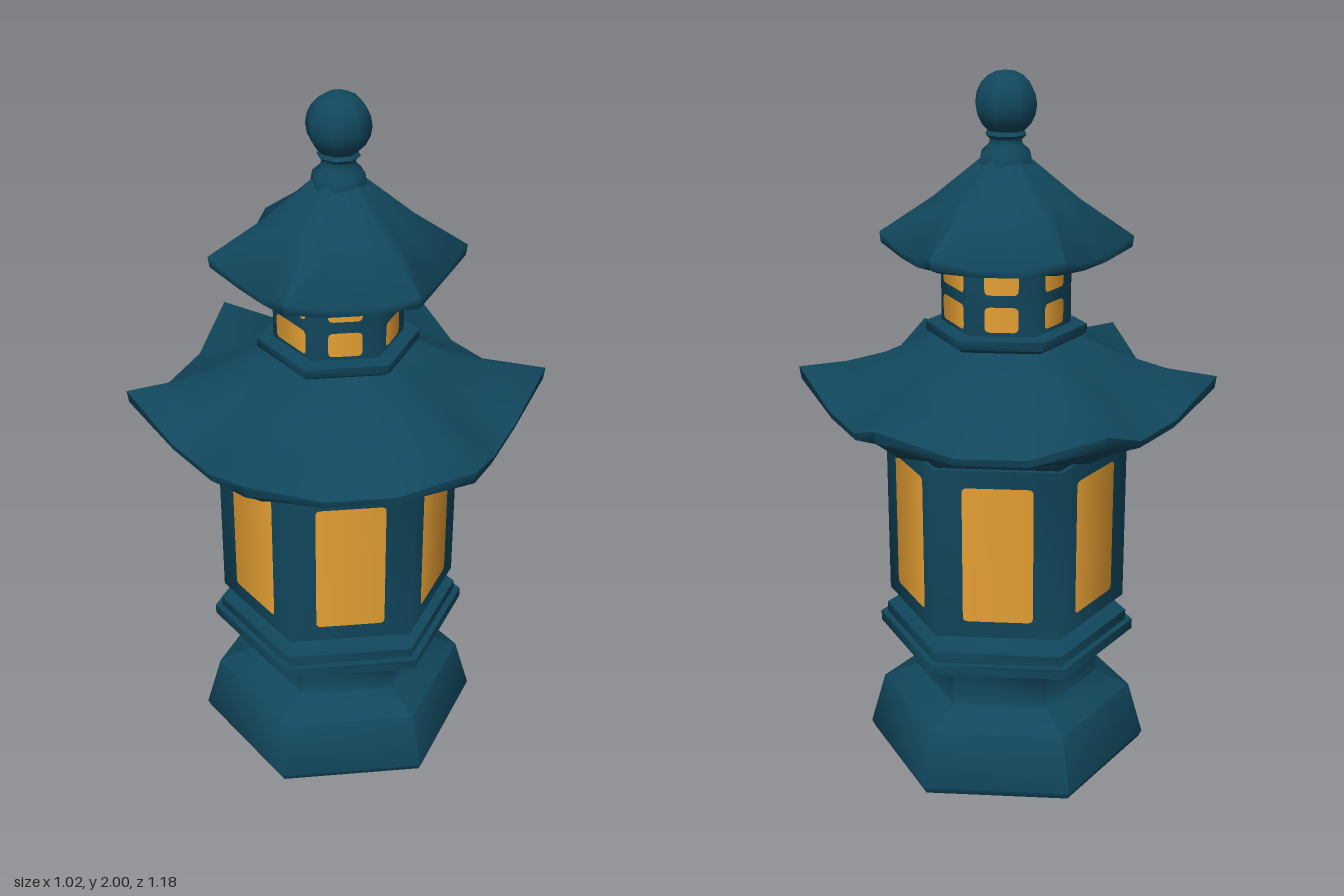
import * as THREE from 'three';
import { toCreasedNormals } from 'three/addons/utils/BufferGeometryUtils.js';

const CREASE = 1.1; // keeps the hexagon corners soft and the ledges sharp
const APOTHEM = Math.cos(Math.PI / 6);

const stone = new THREE.MeshStandardMaterial({ color: 0x11475d });
stone.name = 'blue stone';
const glow = new THREE.MeshStandardMaterial({ color: 0xe6a033 });
glow.name = 'amber window';

function addMesh(parent, name, geometry, material) {
  const mesh = new THREE.Mesh(geometry, material);
  mesh.name = name;
  parent.add(mesh);
  return mesh;
}

// Turned part from [radius, height] pairs, bottom to top
function turned(profile, sides = 6) {
  const points = profile.map(([r, y]) => new THREE.Vector2(r, y));
  return toCreasedNormals(new THREE.LatheGeometry(points, sides), CREASE);
}

// Hexagonal roof from rings of [corner radius, corner y, side y, side inset]
function roof(rings) {
  const position = [], index = [];
  const n = 18;
  const corner = (k) => new THREE.Vector2(Math.sin(k * Math.PI / 3), Math.cos(k * Math.PI / 3));
  for (const [r, cornerY, sideY, inset] of rings) {
    for (let j = 0; j < n; j++) {
      const k = Math.floor(j / 3), isCorner = j % 3 === 0;
      const p = corner(k).lerp(corner(k + 1), (j % 3) / 3);
      p.multiplyScalar(isCorner ? r : r - inset);
      position.push(p.x, isCorner ? cornerY : sideY, p.y);
    }
  }
  for (let i = 0; i < rings.length - 1; i++) {
    for (let j = 0; j < n; j++) {
      const a = i * n + j, b = i * n + (j + 1) % n;
      index.push(a, b, b + n, a, b + n, a + n);
    }
  }
  const geometry = new THREE.BufferGeometry();
  geometry.setAttribute('position', new THREE.Float32BufferAttribute(position, 3));
  geometry.setIndex(index);
  return toCreasedNormals(geometry, CREASE);
}

// Rounded pane just off a hexagon side, its normals following the soft corners
function pane(w, h, y, radius) {
  const c = 0.015, x = w / 2, b = y - h / 2, t = y + h / 2;
  const shape = new THREE.Shape();
  shape.moveTo(-x + c, b).lineTo(x - c, b);
  shape.quadraticCurveTo(x, b, x, b + c).lineTo(x, t - c);
  shape.quadraticCurveTo(x, t, x - c, t).lineTo(-x + c, t);
  shape.quadraticCurveTo(-x, t, -x, t - c).lineTo(-x, b + c);
  shape.quadraticCurveTo(-x, b, -x + c, b);
  const geometry = new THREE.ShapeGeometry(shape, 4);
  const d = radius * APOTHEM;
  geometry.translate(0, 0, d + 0.003);
  const pos = geometry.attributes.position, normal = geometry.attributes.normal;
  for (let i = 0; i < pos.count; i++) {
    const v = new THREE.Vector3(pos.getX(i), 0, d).normalize();
    normal.setXYZ(i, v.x, v.y, v.z);
  }
  return geometry;
}

export function createModel() {
  const model = new THREE.Group();
  model.name = 'lantern';

  // Foot, waist and stepped rim
  addMesh(model, 'base', turned([
    [0, 0], [0.405, 0], [0.415, 0.02], [0.37, 0.18], [0.27, 0.225], [0.27, 0.33], [0.34, 0.37],
  ]), stone);
  addMesh(model, 'rim', turned([
    [0.27, 0.37], [0.375, 0.37], [0.375, 0.4], [0.355, 0.4], [0.355, 0.43],
    [0.32, 0.43], [0.27, 0.455], [0.285, 0.485],
  ]), stone);

  // Main chamber
  addMesh(model, 'chamber', turned([[0, 0.48], [0.345, 0.48], [0.345, 0.98], [0, 0.98]]), stone);

  // Wide roof with lifted corners
  addMesh(model, 'lowerRoof', roof([
    [0.32, 0.975, 0.975, 0], [0.345, 0.99, 0.99, 0], [0.36, 1.04, 1.035, 0],
    [0.5, 1.065, 1.045, 0.01], [0.53, 1.09, 1.065, 0.01], [0.585, 1.13, 1.07, 0.02],
    [0.59, 1.165, 1.09, 0.02], [0.45, 1.185, 1.15, 0.01], [0.34, 1.215, 1.205, 0],
    [0.21, 1.275, 1.275, 0], [0, 1.275, 1.275, 0],
  ]), stone);

  // Upper chamber on its collar
  addMesh(model, 'collar', turned([
    [0.2, 1.265], [0.215, 1.28], [0.225, 1.285], [0.225, 1.31], [0.17, 1.315],
  ]), stone);
  addMesh(model, 'upperChamber', turned([[0.18, 1.3], [0.18, 1.53]]), stone);

  // Upper roof
  addMesh(model, 'upperRoof', roof([
    [0, 1.525, 1.525, 0], [0.18, 1.525, 1.52, 0], [0.31, 1.515, 1.51, 0.005],
    [0.345, 1.53, 1.51, 0.015], [0.349, 1.56, 1.53, 0.015], [0.2, 1.66, 1.65, 0],
    [0.065, 1.77, 1.77, 0], [0, 1.775, 1.775, 0],
  ]), stone);

  // Finial
  addMesh(model, 'finialNeck', turned([
    [0.075, 1.755], [0.07, 1.785], [0.048, 1.805], [0.045, 1.82], [0.058, 1.832], [0.045, 1.85],
  ], 8), stone);
  const ball = addMesh(model, 'finialBall', new THREE.SphereGeometry(0.087, 8, 10), stone);
  ball.position.y = 1.913;

  // Windows on all six sides
  const tall = pane(0.195, 0.4, 0.73, 0.345);
  for (let k = 0; k < 6; k++) {
    const side = new THREE.Group();
    side.name = 'windows';
    side.rotation.y = (k + 0.5) * Math.PI / 3;
    addMesh(side, 'tallWindow', tall, glow);
    const w = k % 3 === 1 ? 0.135 : 0.092;
    for (const y of [1.36, 1.463]) addMesh(side, 'smallWindow', pane(w, 0.07, y, 0.18), glow);
    model.add(side);
  }
  return model;
}
